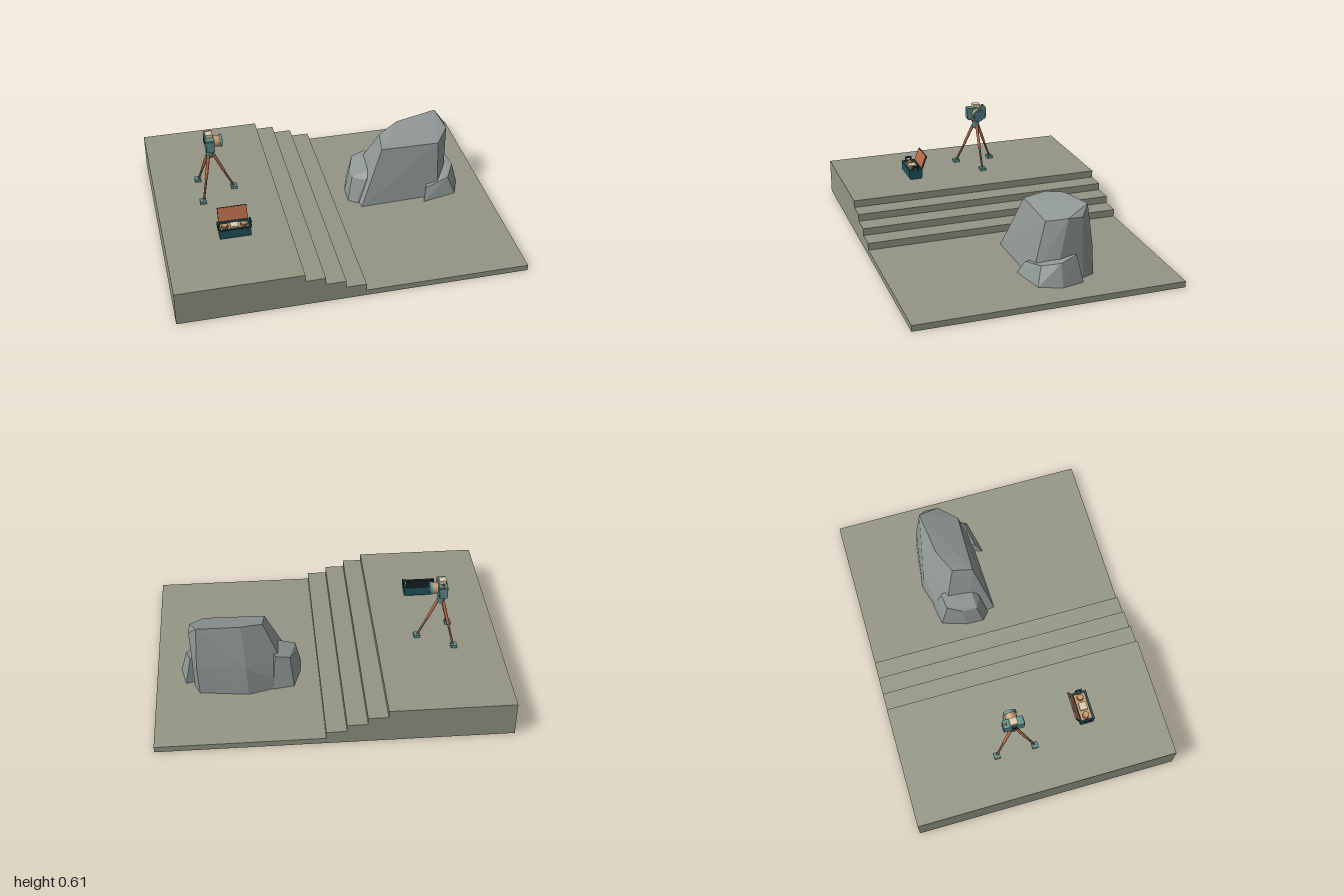
import * as THREE from 'three';
import { ConvexGeometry } from 'three/addons/geometries/ConvexGeometry.js';

const mat = (color, flatShading = false) =>
  new THREE.MeshStandardMaterial({ color, flatShading });
const GROUND = mat(0x939584), ROCK = mat(0x8d9594, true), TEAL = mat(0x5f8f8b), DARK = mat(0x1f5560),
  BLACK = mat(0x1d2f35), ORANGE = mat(0xb56a48), WOOD = mat(0x7a553c), TAN = mat(0xc09a70),
  CREAM = mat(0xd8cba8), GLASS = mat(0x56788c);
const FLOOR = 0.207;

function add(parent, name, geometry, material, x = 0, y = 0, z = 0) {
  const mesh = new THREE.Mesh(geometry, material);
  mesh.name = name;
  mesh.position.set(x, y, z);
  parent.add(mesh);
  return mesh;
}
const box = (p, name, m, w, h, d, x, y, z) => add(p, name, new THREE.BoxGeometry(w, h, d), m, x, y, z);
const group = (parent, name, x = 0, y = 0, z = 0) => {
  const g = new THREE.Group();
  g.name = name;
  g.position.set(x, y, z);
  parent.add(g);
  return g;
};

// Cylinder running between two points
function rod(parent, name, material, a, b, r0, r1 = r0, sides = 8) {
  const dir = b.clone().sub(a);
  const mesh = add(parent, name, new THREE.CylinderGeometry(r1, r0, dir.length(), sides), material);
  mesh.position.copy(a).lerp(b, 0.5);
  mesh.quaternion.setFromUnitVectors(new THREE.Vector3(0, 1, 0), dir.normalize());
  return mesh;
}

// Faceted boulder from its corner points
const rock = (parent, name, points) =>
  add(parent, name, new ConvexGeometry(points.map((p) => new THREE.Vector3(...p))), ROCK);

function addGround(root) {
  const s = new THREE.Shape();
  s.moveTo(-1, 0);
  s.lineTo(1, 0);
  s.lineTo(1, 0.035);
  // Steps climbing to the left
  let y = 0.035;
  for (const [x, top] of [[0.055, 0.078], [-0.06, 0.121], [-0.175, 0.164], [-0.288, FLOOR]]) {
    s.lineTo(x, y);
    s.lineTo(x, top);
    y = top;
  }
  s.lineTo(-1, FLOOR);
  s.closePath();
  add(root, 'steppedGround', new THREE.ExtrudeGeometry(s, { depth: 1.54, bevelEnabled: false }), GROUND, 0, 0, -0.77);
}

function addRocks(root) {
  const g = group(root, 'rocks');
  rock(g, 'mainRock', [
    [0.22, 0.035, 0.025], [0.7, 0.035, 0.01], [0.77, 0.035, -0.1], [0.78, 0.035, -0.26],
    [0.75, 0.035, -0.33], [0.47, 0.035, -0.365], [0.24, 0.035, -0.3], [0.2, 0.035, -0.13],
    [0.48, 0.21, -0.347], [0.76, 0.21, -0.318], [0.28, 0.2, -0.25],
    [0.36, 0.37, -0.065], [0.71, 0.37, -0.06], [0.79, 0.405, -0.16], [0.795, 0.405, -0.24],
    [0.75, 0.462, -0.285], [0.5, 0.435, -0.25], [0.375, 0.4, -0.185],
  ]);
  rock(g, 'leftRock', [
    [0.155, 0.035, -0.06], [0.2, 0.035, -0.02], [0.16, 0.035, -0.17], [0.205, 0.035, -0.31],
    [0.33, 0.035, -0.33], [0.4, 0.035, -0.03],
    [0.185, 0.18, -0.09], [0.19, 0.18, -0.18], [0.225, 0.212, -0.265], [0.31, 0.235, -0.28],
    [0.36, 0.235, -0.1], [0.26, 0.17, -0.055],
  ]);
  rock(g, 'rightRock', [
    [0.6, 0.035, 0.06], [0.81, 0.035, 0.015], [0.86, 0.035, -0.11], [0.83, 0.035, -0.24],
    [0.7, 0.035, -0.2], [0.62, 0.105, 0.02],
    [0.77, 0.14, -0.015], [0.825, 0.165, -0.11], [0.8, 0.19, -0.21], [0.72, 0.17, -0.15],
  ]);
}

function addCamera(root) {
  const g = group(root, 'cameraOnTripod', -0.662, FLOOR, -0.115);
  // Tripod legs with foot pads
  for (let i = 0; i < 3; i++) {
    const a = (i * Math.PI * 2) / 3;
    const at = (r, y) => new THREE.Vector3(Math.cos(a) * r, y, Math.sin(a) * r);
    rod(g, 'upperLeg', ORANGE, at(0.018, 0.26), at(0.075, 0.13), 0.009);
    rod(g, 'lowerLeg', WOOD, at(0.07, 0.14), at(0.13, 0.012), 0.0065);
    const foot = box(g, 'foot', TEAL, 0.036, 0.018, 0.036, 0, 0, 0);
    foot.position.copy(at(0.131, 0.009));
    if (i) foot.position.x -= 0.004;
  }
  // Tripod head
  add(g, 'tripodHub', new THREE.CylinderGeometry(0.024, 0.02, 0.045, 12), TEAL, 0, 0.265, 0);
  add(g, 'swivel', new THREE.CylinderGeometry(0.018, 0.018, 0.02, 12), ORANGE, 0, 0.29, 0);
  box(g, 'mountPlate', ORANGE, 0.04, 0.012, 0.065, 0, 0.301, 0);
  // Body, with the lens toward +x
  box(g, 'cameraBody', TEAL, 0.05, 0.076, 0.116, 0, 0.343, 0);
  for (const s of [-1, 1]) box(g, 'sideGrip', TEAL, 0.038, 0.06, 0.008, 0, 0.343, s * 0.058);
  box(g, 'viewfinder', CREAM, 0.04, 0.022, 0.044, 0, 0.391, 0);
  box(g, 'eyepiece', BLACK, 0.008, 0.02, 0.03, -0.027, 0.355, 0);
  add(g, 'shutterButton', new THREE.CylinderGeometry(0.007, 0.007, 0.012, 10), ORANGE, 0, 0.387, -0.042);
  const barrel = (name, m, r, x0, x1) => rod(g, name, m,
    new THREE.Vector3(x0, 0.343, 0), new THREE.Vector3(x1, 0.343, 0), r, r, 20);
  barrel('lensBarrel', TAN, 0.033, 0.025, 0.06);
  barrel('lensRim', TEAL, 0.037, 0.058, 0.074);
  barrel('lensGlass', GLASS, 0.028, 0.07, 0.0755);
}

function addCase(root) {
  const g = group(root, 'equipmentCase', -0.6, FLOOR, 0.327);
  // Open box with chamfered lower edges, extruded along x
  const s = new THREE.Shape([[-0.034, 0], [0.034, 0], [0.042, 0.012], [0.042, 0.066], [0.033, 0.066],
    [0.033, 0.035], [-0.033, 0.035], [-0.033, 0.066], [-0.042, 0.066], [-0.042, 0.012]]
    .map(([z, y]) => new THREE.Vector2(z, y)));
  const shell = add(g, 'caseShell', new THREE.ExtrudeGeometry(s, { depth: 0.176, bevelEnabled: false }), DARK, -0.088, 0, 0);
  shell.rotation.y = Math.PI / 2;
  box(g, 'padding', TAN, 0.166, 0.016, 0.066, 0, 0.046, 0);
  box(g, 'frontTrim', BLACK, 0.18, 0.008, 0.004, 0, 0.062, 0.042);
  for (const x of [-1, 1]) {
    box(g, 'endWall', DARK, 0.009, 0.054, 0.082, x * 0.084, 0.039, 0);
    // Bail handle on each end
    for (const z of [-1, 1]) box(g, 'handlePost', BLACK, 0.008, 0.036, 0.007, x * 0.092, 0.066, z * 0.016);
    box(g, 'handleBar', BLACK, 0.01, 0.008, 0.04, x * 0.092, 0.083, 0);
    // Spare lenses
    add(g, 'spareLens', new THREE.CylinderGeometry(0.02, 0.02, 0.02, 16), ORANGE, x * 0.054, 0.056, 0);
    add(g, 'spareLensCap', new THREE.CylinderGeometry(0.015, 0.015, 0.004, 16), TAN, x * 0.054, 0.067, 0);
  }
  box(g, 'spareBlock', CREAM, 0.046, 0.022, 0.044, 0, 0.057, 0);
  // Lid leaning back, lined inside
  const lid = group(g, 'lid', 0, 0.064, -0.042);
  lid.rotation.x = -0.36;
  box(lid, 'lidShell', BLACK, 0.168, 0.082, 0.006, 0, 0.041, -0.002);
  box(lid, 'lidLining', ORANGE, 0.162, 0.078, 0.004, 0, 0.041, 0.002);
}

export function createModel() {
  const root = new THREE.Group();
  root.name = 'cameraScene';
  addGround(root);
  addRocks(root);
  addCamera(root);
  addCase(root);
  return root;
}
